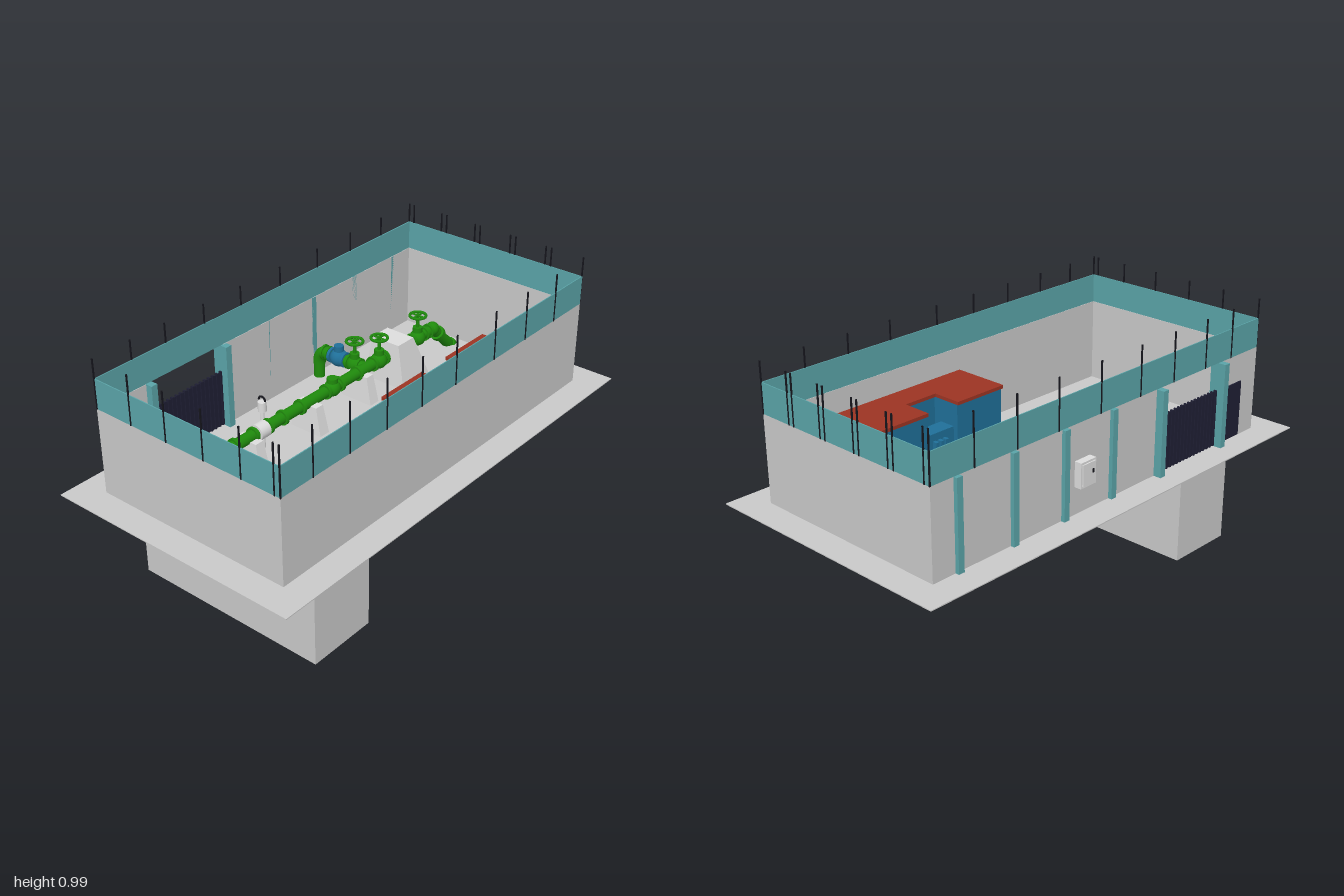
import * as THREE from 'three';

const mat = (name, color, side = THREE.FrontSide) => {
  const m = new THREE.MeshStandardMaterial({ color, side });
  m.name = name;
  return m;
};

export function createModel() {
  const root = new THREE.Group();
  root.name = 'pumpStation';
  const concrete = mat('concrete', 0xc8c8c8);
  const teal = mat('teal', 0x5aa3a7);
  const green = mat('pipeGreen', 0x1f8a0c);
  const blue = mat('blue', 0x1f6f98);
  const red = mat('roofRed', 0x9c3423);
  const navy = mat('gateNavy', 0x1e1e33);
  const white = mat('paleGrey', 0xdcdcdc);
  const black = mat('postBlack', 0x15151c);
  const G = 0.44, WALL = 0.79, FENCE = 0.91, PX = -0.155, PY = 0.56;

  const add = (name, geo, m, parent = root) => {
    const mesh = new THREE.Mesh(geo, m);
    mesh.name = name;
    parent.add(mesh);
    return mesh;
  };
  // Box given by its limits
  const box = (name, m, x0, x1, y0, y1, z0, z1, parent) => {
    const b = add(name, new THREE.BoxGeometry(x1 - x0, y1 - y0, z1 - z0), m, parent);
    b.position.set((x0 + x1) / 2, (y0 + y1) / 2, (z0 + z1) / 2);
    return b;
  };
  // Round bar between two points
  const rod = (name, m, a, b, r, parent, sides = 20) => {
    const A = new THREE.Vector3(...a), B = new THREE.Vector3(...b);
    const d = B.clone().sub(A);
    const c = add(name, new THREE.CylinderGeometry(r, r, d.length(), sides), m, parent);
    c.position.copy(A).add(B).multiplyScalar(0.5);
    c.quaternion.setFromUnitVectors(new THREE.Vector3(0, 1, 0), d.normalize());
    return c;
  };
  const ball = (name, m, p, r, parent) =>
    add(name, new THREE.SphereGeometry(r, 20, 14), m, parent).position.set(...p);
  // Block with a smaller top; top limits are separate from base limits
  const taper = (name, m, b, t, y0, y1) => {
    const g = new THREE.BoxGeometry(1, 1, 1), p = g.attributes.position;
    for (let i = 0; i < p.count; i++) {
      const q = p.getY(i) > 0 ? t : b;
      p.setXYZ(i, p.getX(i) > 0 ? q[1] : q[0], p.getY(i) > 0 ? y1 : y0, p.getZ(i) > 0 ? q[3] : q[2]);
    }
    g.computeVertexNormals();
    return add(name, g, m);
  };

  // Ground slab and pit below it
  box('groundSlab', concrete, -0.545, 0.545, G - 0.004, G, -1, 1);
  box('pit', concrete, -0.425, 0.425, 0, G - 0.004, 0.435, 0.73);

  // Perimeter walls, with a gate gap on the -x side
  const X = 0.43, Z = 0.885, T = 0.006;
  for (const s of [-1, 1])
    box('endWall', concrete, -X, X, G, WALL, s > 0 ? Z - T : -Z, s > 0 ? Z : T - Z);
  box('leftWall', concrete, X - T, X, G, WALL, -Z + T, Z - T);
  for (const [a, b] of [[-Z + T, 0.265], [0.645, Z - T]])
    box('rightWall', concrete, -X, T - X, G, WALL, a, b);

  // Fence sheets above the walls
  for (const s of [-1, 1]) {
    box('fenceEnd', teal, -X, X, WALL, FENCE, s * (Z - 0.002) - 0.002, s * (Z - 0.002) + 0.002);
    box('fenceSide', teal, s * (X - 0.002) - 0.002, s * (X - 0.002) + 0.002, WALL, FENCE, -Z + 0.004, Z - 0.004);
  }
  // Fence posts
  const posts = new THREE.Group();
  posts.name = 'fencePosts';
  root.add(posts);
  const post = (x, z) => box('fencePost', black, x - 0.0025, x + 0.0025, WALL, 0.99, z - 0.0025, z + 0.0025, posts);
  for (const x of [-0.427, -0.255, -0.085, 0.09, 0.26, 0.405]) {
    post(x, Z);
    post(-x, -Z);
    if (Math.abs(x) < 0.4) post(x + 0.021, -Z);
  }
  for (const s of [-1, 1])
    for (const z of [0.72, 0.545, 0.35, 0.155, -0.055, -0.285, -0.49, -0.69])
      post(s * X, z + (z === 0.72 || z === -0.055 ? -s * -0.01 : 0));
  post(X, Z);
  post(-X, -Z);

  // Pilasters and gate columns
  for (const z of [-0.77, -0.51, -0.255, 0])
    box('pilaster', teal, -0.446, -0.424, G - 0.006, WALL, z - 0.013, z + 0.013);
  for (const z of [0.265, 0.645])
    box('gateColumn', teal, -0.463, -0.396, G - 0.006, WALL, z - 0.014, z + 0.014);

  // Ribbed gate and side door
  const gate = new THREE.Group();
  gate.name = 'gate';
  root.add(gate);
  box('gateSheet', navy, -0.431, -0.427, G + 0.005, 0.675, 0.279, 0.631, gate);
  for (let i = 0; i <= 16; i++) {
    const z = 0.285 + i * 0.021;
    box('gateRib', navy, -0.435, -0.423, G + 0.005, 0.68, z - 0.004, z + 0.004, gate);
  }
  box('sideDoor', navy, -0.436, -0.43, G + 0.005, 0.675, 0.675, 0.785);

  // Cabinet on the outer wall
  box('wallCabinet', white, -0.46, -0.43, 0.55, 0.65, -0.2, -0.12);
  box('cabinetDoor', white, -0.465, -0.46, 0.558, 0.642, -0.193, -0.127);
  box('cabinetLock', black, -0.468, -0.465, 0.6, 0.615, -0.145, -0.137);

  // Service building: three blocks around a recess, with matching roof
  const blocks = [[0.18, 0.425, -0.575, -0.33], [0.305, 0.425, -0.33, -0.178], [0.18, 0.425, -0.178, 0.065]];
  for (const [a, b, c, d] of blocks) {
    box('buildingWalls', blue, a + 0.006, b - 0.002, G, 0.682, c === -0.575 ? c + 0.006 : c, d === 0.065 ? d - 0.006 : d);
    box('buildingRoof', red, a, b, 0.682, 0.696, c, d);
  }
  box('porchBox', blue, 0.205, 0.275, G, 0.59, -0.33, -0.18);
  box('porchStep', blue, 0.275, 0.305, G, 0.57, -0.315, -0.195);
  for (const z of [-0.282, -0.257, -0.232])
    box('porchFitting', blue, 0.185, 0.205, 0.5, 0.56, z - 0.008, z + 0.008);

  // Main pipeline
  const pipes = new THREE.Group();
  pipes.name = 'pipeline';
  root.add(pipes);
  const R = 0.023;
  const pipe = (a, b) => rod('pipe', green, a, b, R, pipes);
  pipe([PX, PY, 0.55], [PX, PY, -0.7]);
  pipe([PX, PY, -0.7], [PX, 0.412, -0.848]);
  pipe([PX, PY, -0.39], [PX, 0.423, -0.527]);
  const bend = new THREE.QuadraticBezierCurve3(
    new THREE.Vector3(PX, PY, 0.52), new THREE.Vector3(PX, PY, 0.578), new THREE.Vector3(PX, 0.5, 0.578));
  add('downElbow', new THREE.TubeGeometry(bend, 12, 0.026, 18), green, pipes);
  pipe([PX, 0.51, 0.578], [PX, -0.0 + 0.002, 0.578]);
  ball('elbowJoint', green, [PX, PY, -0.7], 0.029, pipes);
  rod('slopeCollar', green, [PX, 0.44, -0.82], [PX, 0.412, -0.848], 0.03, pipes);
  rod('slopeCollar', green, [PX, 0.53, -0.73], [PX, 0.515, -0.745], 0.032, pipes);
  for (const z of [-0.67, -0.64, -0.555, -0.375, -0.3, -0.2, -0.09, -0.01, 0.14, 0.24, 0.32, 0.4, 0.5])
    rod('flange', green, [PX, PY, z - 0.006], [PX, PY, z + 0.006], 0.031, pipes);
  ball('teeBody', green, [PX, PY, -0.05], 0.034, pipes);
  rod('teeCap', green, [PX, PY, -0.05], [PX, PY + 0.045, -0.05], 0.022, pipes);

  // Side branch with a blue meter and a down bend
  pipe([PX, PY, -0.255], [-0.37, PY, -0.255]);
  const drop = new THREE.QuadraticBezierCurve3(
    new THREE.Vector3(-0.35, PY, -0.255), new THREE.Vector3(-0.4, PY, -0.255), new THREE.Vector3(-0.4, 0.5, -0.255));
  add('branchElbow', new THREE.TubeGeometry(drop, 12, 0.026, 18), green, pipes);
  pipe([-0.4, 0.51, -0.255], [-0.4, G, -0.255]);
  for (const x of [-0.185, -0.24, -0.345, -0.37])
    rod('branchFlange', green, [x - 0.005, PY, -0.255], [x + 0.005, PY, -0.255], 0.031, pipes);
  ball('meterBody', blue, [-0.295, PY, -0.255], 0.037, pipes);
  for (const x of [-0.33, -0.262])
    rod('meterFlange', blue, [x - 0.006, PY, -0.255], [x + 0.006, PY, -0.255], 0.032, pipes);
  rod('meterHead', blue, [-0.295, PY, -0.255], [-0.295, 0.615, -0.255], 0.02, pipes);

  // Gate valves with handwheels
  for (const [x, z] of [[PX, -0.595], [PX, -0.34], [-0.212, -0.255]]) {
    const v = new THREE.Group();
    v.name = 'handwheelValve';
    root.add(v);
    ball('valveBody', green, [x, PY, z], 0.034, v);
    rod('bonnet', green, [x, PY, z], [x, 0.61, z], 0.02, v);
    rod('stem', green, [x, 0.61, z], [x, 0.67, z], 0.007, v, 10);
    const w = add('handwheel', new THREE.TorusGeometry(0.034, 0.006, 8, 24), green, v);
    w.rotation.x = Math.PI / 2;
    w.position.set(x, 0.662, z);
    for (let i = 0; i < 2; i++) {
      const dx = i ? 0.033 : 0, dz = i ? 0 : 0.033;
      rod('spoke', green, [x - dx, 0.662, z - dz], [x + dx, 0.662, z + dz], 0.004, v, 8);
    }
  }

  // Anchor block and tapered pipe saddles
  taper('anchorBlock', white, [-0.255, -0.055, -0.55, -0.375], [-0.222, -0.088, -0.478, -0.38], G, 0.63);
  for (const z of [0.42, 0.085, -0.22]) {
    taper('pipeSaddle', white, [-0.23, -0.08, z - 0.025, z + 0.025], [-0.205, -0.105, z - 0.02, z + 0.02], G, 0.555);
    box('saddleFooting', white, -0.23, -0.08, 0.414, G, z - 0.025, z + 0.025);
  }

  // Pump base over the pit
  box('pumpPlate', green, -0.222, -0.07, G, 0.465, 0.51, 0.632);
  for (const x of [-0.26, -0.045])
    taper('baseBeam', white, [x - 0.025, x + 0.025, 0.488, 0.662], [x - 0.014, x + 0.014, 0.492, 0.658], G, 0.48);

  // Pale coupling and air vent with a hooped top
  rod('coupling', white, [PX, PY, 0.335], [PX, PY, 0.385], 0.033, pipes);
  rod('ventPipe', white, [-0.2, 0.36, 0.3], [-0.2, 0.62, 0.3], 0.008, root, 12);
  rod('ventArm', white, [-0.2, PY, 0.3], [PX, PY, 0.3], 0.008, root, 12);
  rod('ventBody', white, [-0.2, 0.6, 0.3], [-0.2, 0.64, 0.3], 0.017, root, 16);
  const hoop = add('ventHoop', new THREE.TorusGeometry(0.016, 0.004, 8, 16, Math.PI), black);
  hoop.position.set(-0.2, 0.645, 0.3);
  return root;
}
